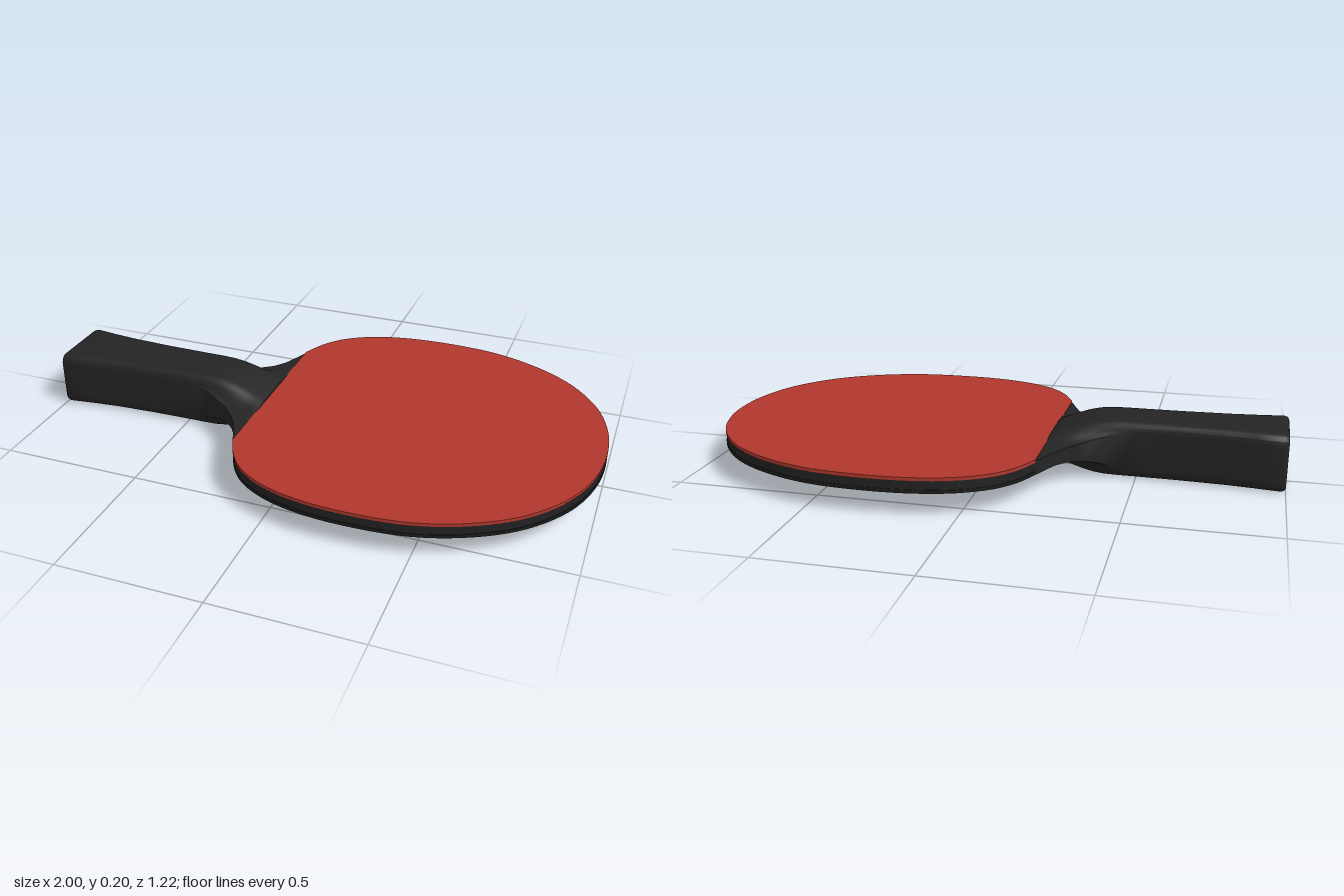
import * as THREE from 'three';
import { toCreasedNormals } from 'three/addons/utils/BufferGeometryUtils.js';

const MID = 0.1; // height of the paddle's middle plane

const material = (color) => new THREE.MeshStandardMaterial({ color, roughness: 0.8 });

// Half outline of the blade, from the straight edge at the handle to the tip
const halfOutline = [
  [-0.2, 0.345], [-0.16, 0.428], [-0.1, 0.5], [0, 0.56], [0.13, 0.596], [0.3, 0.608],
  [0.5, 0.59], [0.68, 0.525], [0.82, 0.43], [0.93, 0.29], [0.985, 0.14], [1, 0],
];

// Flat blade layer between two heights, pulled in slightly by inset
function bladeLayer(name, color, y0, y1, inset = 0) {
  const mirrored = halfOutline.slice(0, -1).reverse().map(([x, z]) => [x, -z]);
  const points = [...halfOutline, ...mirrored].map(
    ([x, z]) => new THREE.Vector3(0.3 + (x - 0.3) * (1 - inset), z * (1 - inset), 0));
  const curve = new THREE.CatmullRomCurve3(points, false, 'centripetal');
  const shape = new THREE.Shape(curve.getPoints(110).reverse().map((p) => new THREE.Vector2(p.x, p.y)));
  const geometry = new THREE.ExtrudeGeometry(shape, { depth: y1 - y0, bevelEnabled: false });
  geometry.rotateX(-Math.PI / 2);
  geometry.translate(0, y0, 0);
  const mesh = new THREE.Mesh(toCreasedNormals(geometry, 0.6), material(color));
  mesh.name = name;
  return mesh;
}

// Handle sections: x, full half width, grip half width, half height, edge half height, corner
const sections = [
  [-1, 0.122, 0.122, 0.09, 0.064, 0.026],
  [-0.996, 0.13, 0.13, 0.096, 0.066, 0.03],
  [-0.985, 0.134, 0.134, 0.1, 0.067, 0.033],
  [-0.9, 0.123, 0.123, 0.1, 0.067, 0.033],
  [-0.8, 0.113, 0.113, 0.1, 0.067, 0.033],
  [-0.65, 0.106, 0.106, 0.1, 0.067, 0.033],
  [-0.5, 0.104, 0.104, 0.1, 0.066, 0.034],
  [-0.44, 0.109, 0.106, 0.1, 0.06, 0.036],
  [-0.39, 0.121, 0.108, 0.099, 0.049, 0.038],
  [-0.35, 0.139, 0.11, 0.094, 0.038, 0.04],
  [-0.31, 0.164, 0.112, 0.084, 0.03, 0.042],
  [-0.275, 0.198, 0.114, 0.071, 0.026, 0.044],
  [-0.245, 0.242, 0.116, 0.059, 0.024, 0.046],
  [-0.22, 0.298, 0.118, 0.048, 0.024, 0.048],
  [-0.205, 0.335, 0.12, 0.041, 0.024, 0.05],
  [-0.198, 0.347, 0.12, 0.035, 0.024, 0.05],
];

// One closed ring: a rounded rectangle that grows thin wings at the neck
function ring([x, w, b, h, e, r]) {
  const corner = new THREE.CubicBezierCurve(
    new THREE.Vector2(w, e), new THREE.Vector2(b, e),
    new THREE.Vector2(b, h), new THREE.Vector2(b - r, h)).getPoints(10);
  const top = [...corner, ...corner.slice().reverse().map((p) => new THREE.Vector2(-p.x, p.y))];
  const bottom = top.map((p) => new THREE.Vector2(-p.x, -p.y));
  return [...top, ...bottom].map((p) => [x, MID + p.y, p.x]);
}

function handleGeometry() {
  const rings = sections.map(ring);
  const n = rings[0].length;
  const positions = rings.flat(2);
  const index = [];
  for (let s = 0; s < rings.length - 1; s++) {
    for (let i = 0; i < n; i++) {
      const j = (i + 1) % n;
      const a = s * n + i, b = s * n + j;
      index.push(a, a + n, b + n, a, b + n, b);
    }
  }
  // End caps
  const last = (rings.length - 1) * n;
  const butt = rings.length * n;
  positions.push(sections[0][0], MID, 0, sections.at(-1)[0], MID, 0);
  for (let i = 0; i < n; i++) {
    const j = (i + 1) % n;
    index.push(butt, i, j, butt + 1, last + j, last + i);
  }
  const geometry = new THREE.BufferGeometry();
  geometry.setAttribute('position', new THREE.Float32BufferAttribute(positions, 3));
  geometry.setIndex(index);
  return toCreasedNormals(geometry, 0.8);
}

export function createModel() {
  const group = new THREE.Group();
  group.name = 'tableTennisPaddle';

  // Blade: core between two rubber sheets
  group.add(
    bladeLayer('bladeCore', 0x222222, 0.088, 0.118, 0.003),
    bladeLayer('upperRubber', 0xb0372d, 0.118, 0.129),
    bladeLayer('lowerRubber', 0x1c1c1c, 0.076, 0.088),
  );

  // Handle with flared neck
  const handle = new THREE.Mesh(handleGeometry(), material(0x242424));
  handle.name = 'handle';
  group.add(handle);
  return group;
}
